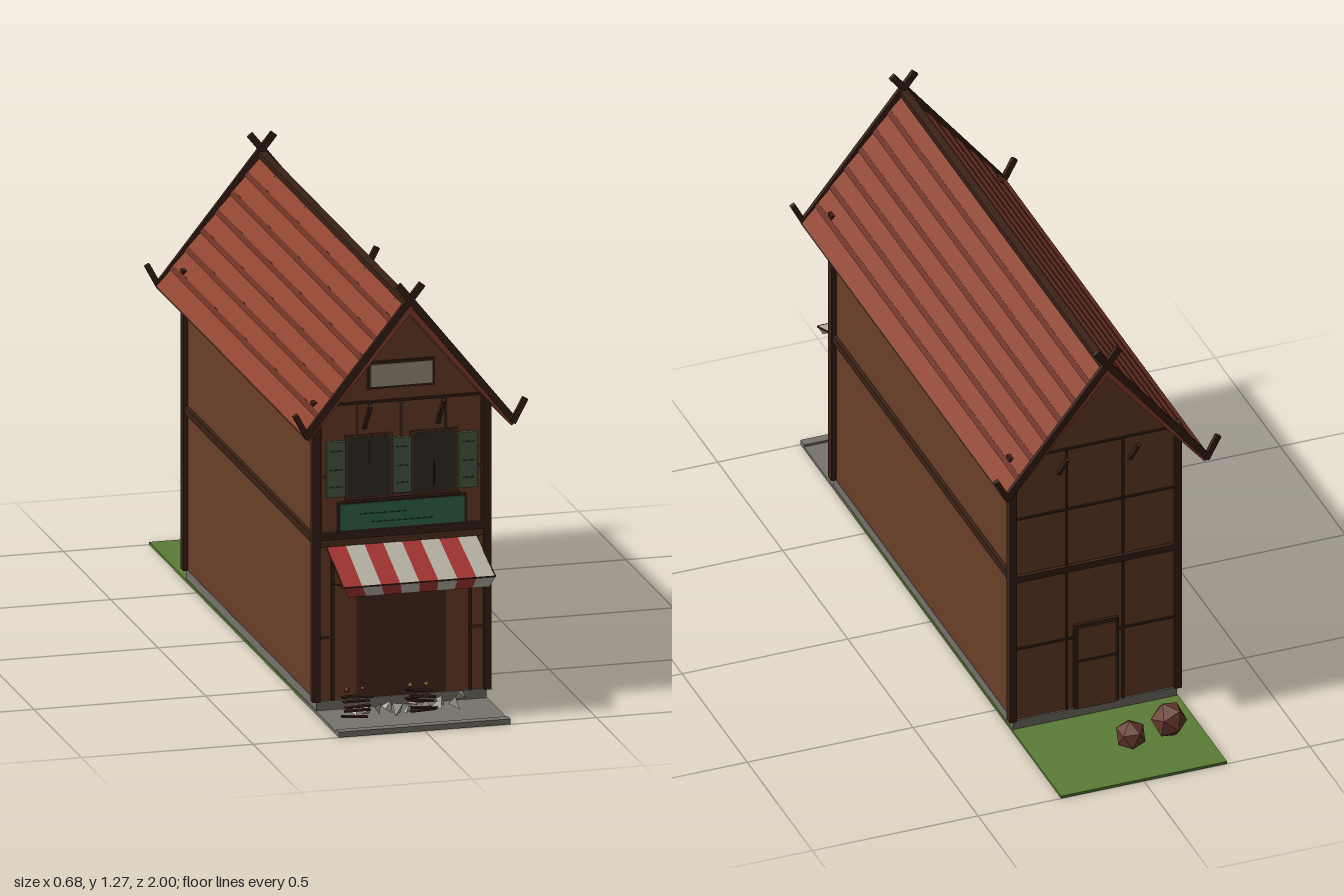
import * as THREE from 'three';

const WOOD = 0x6b3f27, DARK = 0x3a2116, TRIM = 0x52301e, GREY = 0x77736c, ROOF = 0x8e4330, ROOF_DARK = 0x6a2f22;
const FRONT = 0.75, BACK = -0.62;
const mats = {};
function mat(color) {
  return mats[color] ??= new THREE.MeshStandardMaterial({ color, flatShading: true, side: THREE.DoubleSide });
}

function add(parent, name, geo, color, x = 0, y = 0, z = 0) {
  const m = new THREE.Mesh(geo, mat(color));
  m.name = name;
  m.position.set(x, y, z);
  parent.add(m);
  return m;
}

// box given by its limits on each axis
function box(parent, name, color, x0, x1, y0, y1, z0, z1) {
  return add(parent, name, new THREE.BoxGeometry(x1 - x0, y1 - y0, z1 - z0), color,
    (x0 + x1) / 2, (y0 + y1) / 2, (z0 + z1) / 2);
}

// square timber between two points
function beam(parent, name, color, a, b, w, d = w) {
  const p = new THREE.Vector3(...a), q = new THREE.Vector3(...b);
  const m = add(parent, name, new THREE.BoxGeometry(w, d, p.distanceTo(q)), color);
  m.position.copy(p).lerp(q, 0.5);
  m.lookAt(q);
  return m;
}

function group(parent, name) {
  const g = new THREE.Group();
  g.name = name;
  parent.add(g);
  return g;
}

function buildRoof(root) {
  const roof = group(root, 'roof');
  const angle = Math.atan2(0.36, 0.305), len = 0.472, courses = 7;
  for (const s of [-1, 1]) {
    const side = group(roof, 'roofSide');
    side.position.y = 1.2;
    side.rotation.z = -s * angle;
    add(side, 'roofDeck', new THREE.BoxGeometry(len, 0.016, 1.56), ROOF, s * len / 2, -0.009, 0.065);
    // lapped boards with a dark batten at each joint
    for (let i = 0; i < courses; i++) {
      const w = len / courses, u = (i + 0.5) * w;
      const board = add(side, 'roofBoard', new THREE.BoxGeometry(w, 0.006, 1.55), ROOF, s * u, 0, 0.065);
      board.rotation.z = s * 0.05;
      if (i) add(side, 'roofBatten', new THREE.BoxGeometry(0.016, 0.006, 1.55), ROOF_DARK, s * i * w, 0.002, 0.065);
    }
    add(side, 'eaveBoard', new THREE.BoxGeometry(0.008, 0.02, 1.56), DARK, s * len, -0.006, 0.065);
    // crossed bargeboards with upturned tips
    for (const z of [0.846, -0.717]) {
      beam(roof, 'bargeboard', DARK, [-s * 0.035, 1.262, z], [s * 0.302, 0.842, z], 0.012, 0.02).scale.x = 1;
      beam(roof, 'bargeTip', DARK, [s * 0.298, 0.836, z], [s * 0.335, 0.905, z], 0.014, 0.016);
    }
  }
  box(roof, 'ridgeCap', DARK, -0.012, 0.012, 1.195, 1.212, -0.715, 0.845);
}

function buildFront(root) {
  const front = group(root, 'shopFront');
  const z = FRONT;
  box(front, 'floorBeam', DARK, -0.25, 0.25, 0.507, 0.527, z, z + 0.014);
  box(front, 'awningBeam', TRIM, -0.25, 0.25, 0.487, 0.507, z, z + 0.01);
  box(front, 'gableBeam', DARK, -0.24, 0.24, 0.896, 0.903, z, z + 0.006);
  for (const x of [-0.235, -0.13, 0, 0.13, 0.235])
    box(front, 'upperStud', TRIM, x - 0.003, x + 0.003, 0.527, 0.9, z, z + 0.004);
  // doorway
  box(front, 'doorway', 0x472a1c, -0.13, 0.13, 0.035, 0.42, z, z + 0.003);
  for (const s of [-1, 1]) {
    box(front, 'doorPost', DARK, s * 0.2 - 0.004, s * 0.2 + 0.004, 0.035, 0.487, z, z + 0.008);
    for (const y of [0.22, 0.69])
      box(front, 'shortRail', TRIM, s * 0.222 - 0.02, s * 0.222 + 0.02, y - 0.003, y + 0.003, z, z + 0.005);
    // windows
    const x = s * 0.095;
    box(front, 'windowFrame', TRIM, x - 0.069, x + 0.069, 0.62, 0.806, z, z + 0.006);
    box(front, 'windowPane', 0x332c29, x - 0.061, x + 0.061, 0.628, 0.8, z, z + 0.008);
    box(front, 'windowBar', 0x1c1715, x - 0.002, x + 0.002, s < 0 ? 0.72 : 0.645, s < 0 ? 0.79 : 0.715, z, z + 0.01);
  }
  box(front, 'windowSill', DARK, -0.165, 0.165, 0.614, 0.624, z, z + 0.022);
  for (const x of [-0.192, 0, 0.192]) {
    box(front, 'shutter', 0x4b5f45, x - 0.027, x + 0.027, 0.63, 0.792, z, z + 0.012);
    for (const y of [0.66, 0.71, 0.765])
      box(front, 'shutterSlat', 0x2c3a2b, x - 0.018, x + 0.018, y - 0.002, y + 0.002, z, z + 0.014);
  }
  // sign boards
  box(front, 'signFrame', DARK, -0.187, 0.187, 0.527, 0.614, z, z + 0.012);
  box(front, 'signBoard', 0x33694a, -0.18, 0.18, 0.533, 0.608, z, z + 0.015);
  box(front, 'signGroove', 0x1c3d2a, -0.125, 0.01, 0.576, 0.579, z, z + 0.017);
  box(front, 'signGroove', 0x1c3d2a, -0.09, 0.09, 0.551, 0.554, z, z + 0.017);
  box(front, 'gablePanelFrame', DARK, -0.099, 0.095, 0.938, 1.017, z, z + 0.008);
  box(front, 'gablePanel', 0xa39883, -0.091, 0.088, 0.945, 1.009, z, z + 0.011);
}

function buildAwning(root) {
  const awning = group(root, 'awning');
  const n = 8;
  for (let i = 0; i < n; i++) {
    const a = i / n * 2 - 1, b = (i + 1) / n * 2 - 1;
    const rows = [[0.217, 0.487, 0.756], [0.222, 0.42, 0.945], [0.205, 0.39, 0.943]];
    const pos = rows.flatMap(([w, y, z]) => [a * w, y, z, b * w, y, z]);
    const geo = new THREE.BufferGeometry();
    geo.setAttribute('position', new THREE.Float32BufferAttribute(pos, 3));
    geo.setIndex([0, 2, 1, 1, 2, 3, 2, 4, 3, 3, 4, 5]);
    geo.computeVertexNormals();
    add(awning, 'awningStripe', geo, i % 2 ? 0xb5afa2 : 0xa03330);
  }
  beam(awning, 'awningBar', DARK, [-0.22, 0.419, 0.944], [0.22, 0.419, 0.944], 0.004);
  for (const s of [-1, 1]) {
    beam(awning, 'awningRod', DARK, [s * 0.2, 0.378, 0.755], [s * 0.2, 0.415, 0.94], 0.003);
    beam(awning, 'awningEdge', DARK, [s * 0.217, 0.485, 0.755], [s * 0.221, 0.419, 0.943], 0.004);
  }
}

function buildBack(root) {
  const back = group(root, 'backWall');
  const z = BACK;
  box(back, 'floorBeam', DARK, -0.25, 0.25, 0.495, 0.515, z - 0.012, z);
  for (const y of [0.27, 0.7, 0.9])
    box(back, 'rail', DARK, -0.24, 0.24, y - 0.003, y + 0.003, z - 0.005, z);
  for (const x of [-0.085, 0.085])
    box(back, 'stud', DARK, x - 0.003, x + 0.003, 0.035, 0.9, z - 0.005, z);
  box(back, 'doorFrame', DARK, -0.07, 0.065, 0.035, 0.312, z - 0.009, z);
  box(back, 'door', WOOD, -0.058, 0.053, 0.035, 0.3, z - 0.012, z);
  box(back, 'doorRail', DARK, -0.058, 0.053, 0.19, 0.197, z - 0.015, z);
}

function buildScraps(root) {
  const scraps = group(root, 'streetGoods');
  let seed = 7;
  const rnd = (a, b) => { seed = (seed * 16807) % 2147483647; return a + (b - a) * seed / 2147483647; };
  // two low stacks of slats with small fruit on top
  for (const cx of [-0.16, 0.025]) {
    for (let i = 0; i < 6; i++) {
      const slat = add(scraps, 'slat', new THREE.BoxGeometry(0.075, 0.005, 0.014), DARK,
        cx + rnd(-0.01, 0.01), 0.02 + i * 0.011, 0.85 + rnd(-0.03, 0.03));
      slat.rotation.set(0, rnd(-0.3, 0.3), rnd(-0.08, 0.08));
    }
    for (const d of [-0.025, 0.022])
      add(scraps, 'fruit', new THREE.IcosahedronGeometry(0.008), cx < 0 ? 0x9a3326 : 0xb0702c, cx + d, 0.092, 0.85);
  }
  // pale broken pieces
  for (let i = 0; i < 12; i++) {
    const piece = add(scraps, 'palePiece', new THREE.TetrahedronGeometry(rnd(0.015, 0.022)), 0xb5afa0,
      -0.15 + i * 0.028, rnd(0.018, 0.04), rnd(0.79, 0.88));
    piece.rotation.set(rnd(0, 3), rnd(0, 3), rnd(0, 3));
    piece.scale.set(1.4, 0.7, 1);
  }
}

export function createModel() {
  const root = new THREE.Group();
  root.name = 'shopHouse';

  // ground and foundation
  box(root, 'street', GREY, -0.25, 0.25, 0, 0.009, 0.6, 1);
  box(root, 'curb', GREY, -0.25, 0.25, 0.009, 0.016, 0.972, 1);
  box(root, 'grass', 0x5b7d36, -0.25, 0.25, 0, 0.008, -1, 0.6);
  box(root, 'foundation', GREY, -0.247, 0.247, 0.004, 0.036, BACK - 0.005, FRONT + 0.005);

  // gabled body
  const outline = new THREE.Shape([[-0.245, 0.035], [0.245, 0.035], [0.245, 0.88], [0, 1.17], [-0.245, 0.88]]
    .map(p => new THREE.Vector2(...p)));
  add(root, 'walls', new THREE.ExtrudeGeometry(outline, { depth: FRONT - BACK, bevelEnabled: false }), WOOD, 0, 0, BACK);

  // corner posts, side beams and eave struts
  for (const s of [-1, 1]) {
    box(root, 'sideBeam', DARK, s * 0.25 - 0.006, s * 0.25 + 0.006, 0.495, 0.517, BACK, FRONT);
    for (const [z, out] of [[FRONT, 1], [BACK, -1]]) {
      box(root, 'cornerPost', DARK, s * 0.249 - 0.011, s * 0.249 + 0.011, 0.035, 0.912, z - 0.012, z + 0.014);
      beam(root, 'eaveStrut', DARK, [s * 0.107, 0.825, z], [s * 0.107, 0.907, z + out * 0.065], 0.011);
    }
  }

  buildRoof(root);
  buildFront(root);
  buildAwning(root);
  buildBack(root);
  buildScraps(root);

  // rough boulders behind the house
  for (const [x, z, r, turn] of [[-0.15, -0.81, 0.052, 0.4], [-0.025, -0.835, 0.045, 1.3]]) {
    const rock = add(root, 'boulder', new THREE.IcosahedronGeometry(r), 0x66392c, x, r + 0.007, z);
    rock.rotation.set(0.3, turn, 0.2);
    rock.scale.y = 1.05;
  }
  return root;
}
